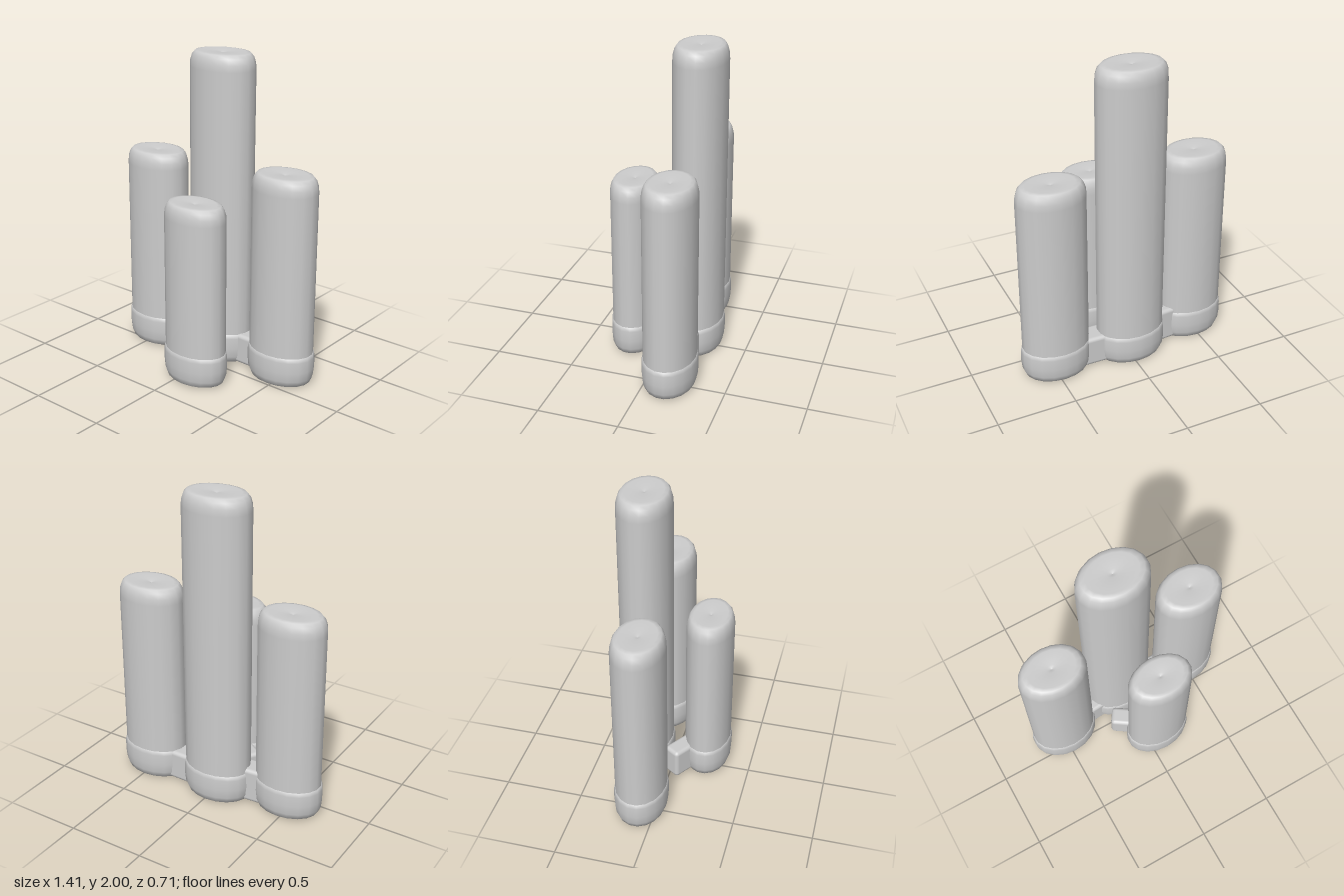
import * as THREE from 'three';
import { RoundedBoxGeometry } from 'three/addons/geometries/RoundedBoxGeometry.js';

const SEGMENTS = 18;

export function createModel() {
  const model = new THREE.Group();
  model.name = 'columnCluster';
  const stone = new THREE.MeshStandardMaterial({ color: 0xcccccc });
  stone.name = 'pale grey';

  // An oval turned solid: profile radii are relative, heights are absolute
  function ovalLathe(name, profile, c) {
    const geometry = new THREE.LatheGeometry(profile.map(([r, y]) => new THREE.Vector2(r, y)), SEGMENTS);
    geometry.scale(c.rx, 1, c.rz);
    const mesh = new THREE.Mesh(geometry, stone);
    mesh.name = name;
    return mesh;
  }

  // Oval columns, each standing in a slightly wider foot
  const columns = [
    { name: 'rightColumn', x: -0.483, z: -0.095, rx: 0.217, rz: 0.160, h: 1.33 },
    { name: 'tallColumn', x: -0.018, z: -0.175, rx: 0.222, rz: 0.162, h: 2.0 },
    { name: 'leftColumn', x: 0.482, z: -0.148, rx: 0.217, rz: 0.160, h: 1.335 },
    { name: 'frontColumn', x: 0.082, z: 0.206, rx: 0.211, rz: 0.147, h: 1.16 },
  ];
  for (const c of columns) {
    const column = new THREE.Group();
    column.name = c.name;
    column.position.set(c.x, 0, c.z);
    const { h } = c;
    column.add(
      ovalLathe('shaft', [
        [1, 0.1], [1, 0.3], [1, h - 0.1], [0.985, h - 0.06], [0.93, h - 0.025],
        [0.84, h - 0.004], [0.7, h], [0.15, h - 0.005], [0, h - 0.015],
      ], c),
      ovalLathe('foot', [
        [0, 0.02], [0.3, 0.008], [0.8, 0], [0.94, 0.012], [1.02, 0.05],
        [1.05, 0.11], [1.045, 0.18], [1.02, 0.205], [0.95, 0.21],
      ], c),
    );
    model.add(column);
  }

  // Low bridges joining neighbouring feet
  const bridges = [
    { name: 'rightBridge', from: [-0.34, -0.13], to: [-0.14, -0.145], width: 0.14, height: 0.23 },
    { name: 'leftBridge', from: [0.12, -0.17], to: [0.36, -0.165], width: 0.15, height: 0.2 },
    { name: 'frontBridge', from: [-0.165, 0.01], to: [0.0, 0.12], width: 0.12, height: 0.2 },
  ];
  for (const { name, from, to, width, height } of bridges) {
    const dx = to[0] - from[0], dz = to[1] - from[1];
    const bridge = new THREE.Mesh(
      new RoundedBoxGeometry(Math.hypot(dx, dz), height, width, 2, 0.025), stone);
    bridge.name = name;
    bridge.position.set((from[0] + to[0]) / 2, 0.01 + height / 2, (from[1] + to[1]) / 2);
    bridge.rotation.y = -Math.atan2(dz, dx);
    model.add(bridge);
  }

  return model;
}
